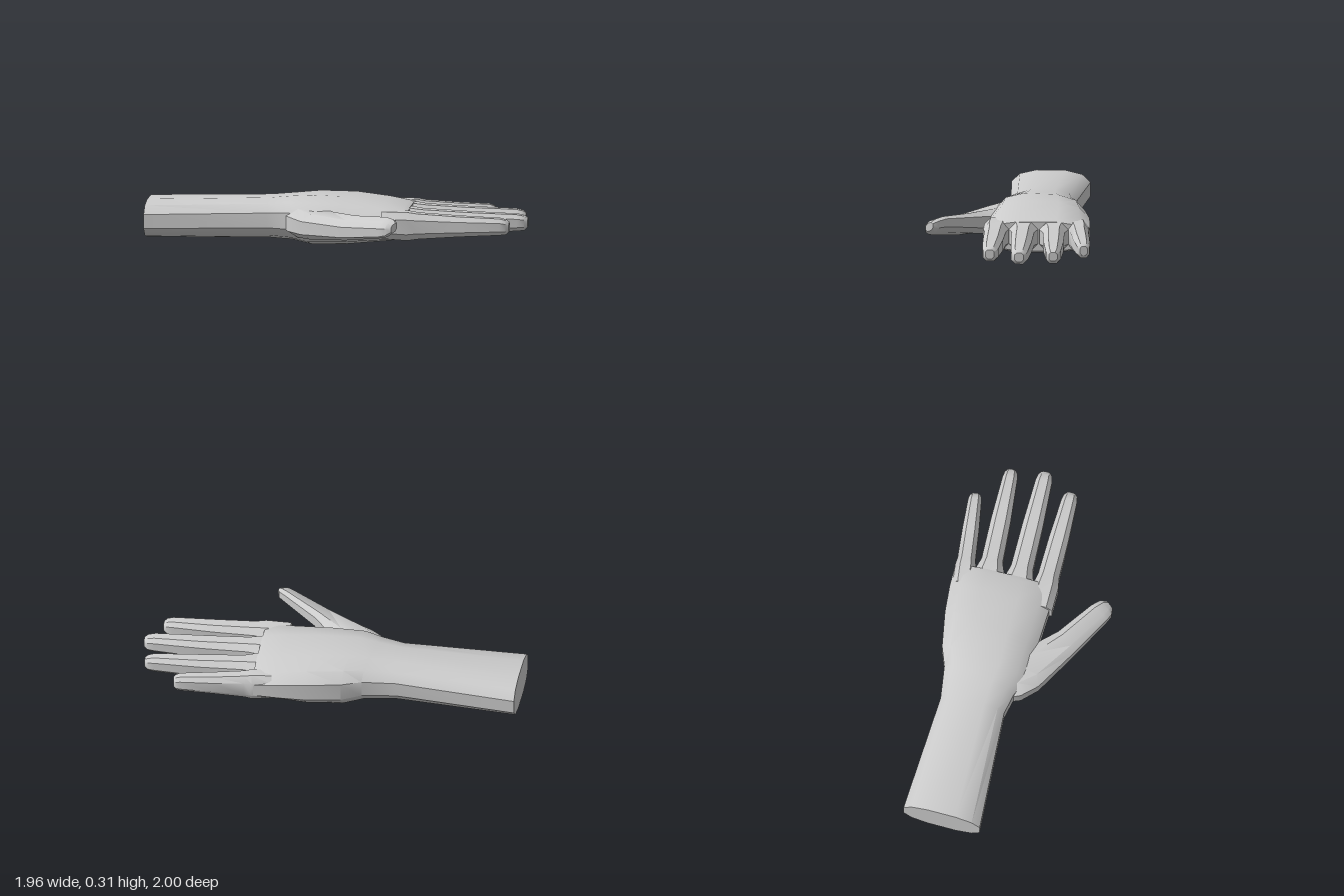
import * as THREE from 'three';
import { toCreasedNormals } from 'three/addons/utils/BufferGeometryUtils.js';

const material = new THREE.MeshStandardMaterial({ color: 0xcccccc });

// Skin over rounded cross-sections.
// Section: [thumb-side x, z, little-finger-side x, z, bottom y, top y, sideways tilt]
function loft(name, sections, sides) {
  const pos = [];
  const soft = (v) => Math.sign(v) * Math.abs(v) ** 0.75;
  const peak = soft(Math.cos(Math.PI / sides));
  const rings = sections.map(([ax, az, bx, bz, y0, y1, tilt = 0]) => {
    const ring = [];
    for (let j = 0; j < sides; j++) {
      const a = ((j + 0.5) / sides) * Math.PI * 2;
      const c = soft(Math.cos(a)) / peak, s = soft(Math.sin(a));
      ring.push(new THREE.Vector3(
        (ax + bx) / 2 + (bx - ax) / 2 * c,
        (y0 + y1) / 2 + (y1 - y0) / 2 * s + tilt * c,
        (az + bz) / 2 + (bz - az) / 2 * c));
    }
    return ring;
  });
  const tri = (...pts) => pts.forEach((p) => pos.push(p.x, p.y, p.z));
  const middle = (ring) => ring.reduce((m, p) => m.add(p), new THREE.Vector3()).divideScalar(sides);
  const first = rings[0], last = rings[rings.length - 1];
  const c0 = middle(first), c1 = middle(last);
  for (let j = 0; j < sides; j++) {
    const k = (j + 1) % sides;
    for (let i = 0; i < rings.length - 1; i++) {
      const p = rings[i], q = rings[i + 1];
      tri(p[j], p[k], q[k]);
      tri(p[j], q[k], q[j]);
    }
    tri(c0, first[k], first[j]);
    tri(c1, last[j], last[k]);
  }
  const geo = new THREE.BufferGeometry();
  geo.setAttribute('position', new THREE.Float32BufferAttribute(pos, 3));
  const mesh = new THREE.Mesh(toCreasedNormals(geo, 0.65), material);
  mesh.name = name;
  return mesh;
}

// Finger from knuckle to tip; widths at the knuckle, middle and tip
function finger(name, [x0, z0], [x1, z1], wBase, wMid, wTip) {
  const dx = x1 - x0, dz = z1 - z0, len = Math.hypot(dx, dz);
  const stations = [
    [-0.25, wBase, 0.07, 0.25],
    [0, wBase, 0.06, 0.25],
    [0.1, wMid * 1.08, 0.07, 0.24],
    [0.5, wMid, 0.09, 0.225],
    [0.91, wTip, 0.105, 0.215],
    [0.97, wTip * 0.85, 0.11, 0.205],
    [1, wTip * 0.55, 0.13, 0.19],
  ];
  return loft(name, stations.map(([t, w, y0, y1]) => {
    const x = x0 + dx * t, z = z0 + dz * t;
    const ux = dz / len * w / 2, uz = -dx / len * w / 2;
    return [x - ux, z - uz, x + ux, z + uz, y0, y1];
  }), 8);
}

export function createModel() {
  const hand = new THREE.Group();
  hand.name = 'hand';

  // Forearm, wrist and palm as one continuous skin
  hand.add(loft('forearmAndPalm', [
    [-0.98, -0.66, -0.62, -1.0, 0.025, 0.27],
    [-0.41, -0.14, -0.12, -0.43, 0.035, 0.292],
    [-0.34, -0.03, 0.05, -0.30, 0.025, 0.308],
    [-0.29, 0.09, 0.17, -0.245, 0.0, 0.318],
    [-0.15, 0.25, 0.36, -0.11, 0.005, 0.312],
    [0.03, 0.45, 0.5, 0.01, 0.03, 0.285],
    [0.12, 0.55, 0.58, 0.09, 0.045, 0.262],
    [0.14, 0.57, 0.6, 0.11, 0.06, 0.25],
  ], 12));

  // Thumb, rolled so that its inner edge sits higher
  hand.add(loft('thumb', [
    [-0.33, -0.06, -0.08, -0.04, 0.07, 0.24],
    [-0.36, 0.01, -0.08, 0.08, 0.06, 0.25],
    [-0.36, 0.14, -0.11, 0.24, 0.07, 0.24, 0.01],
    [-0.28, 0.45, -0.12, 0.43, 0.1, 0.235, 0.02],
    [-0.205, 0.73, -0.085, 0.69, 0.145, 0.25, 0.025],
    [-0.19, 0.775, -0.085, 0.755, 0.155, 0.245, 0.02],
    [-0.16, 0.8, -0.105, 0.79, 0.175, 0.23, 0.01],
  ], 8));

  // Fingers
  const fingers = [
    ['indexFinger', [0.19, 0.525], [0.64, 0.98], 0.16, 0.125, 0.1],
    ['middleFinger', [0.315, 0.405], [0.84, 0.915], 0.18, 0.13, 0.105],
    ['ringFinger', [0.455, 0.275], [0.965, 0.74], 0.18, 0.125, 0.095],
    ['littleFinger', [0.56, 0.16], [0.945, 0.465], 0.13, 0.105, 0.085],
  ];
  for (const f of fingers) hand.add(finger(...f));
  return hand;
}
